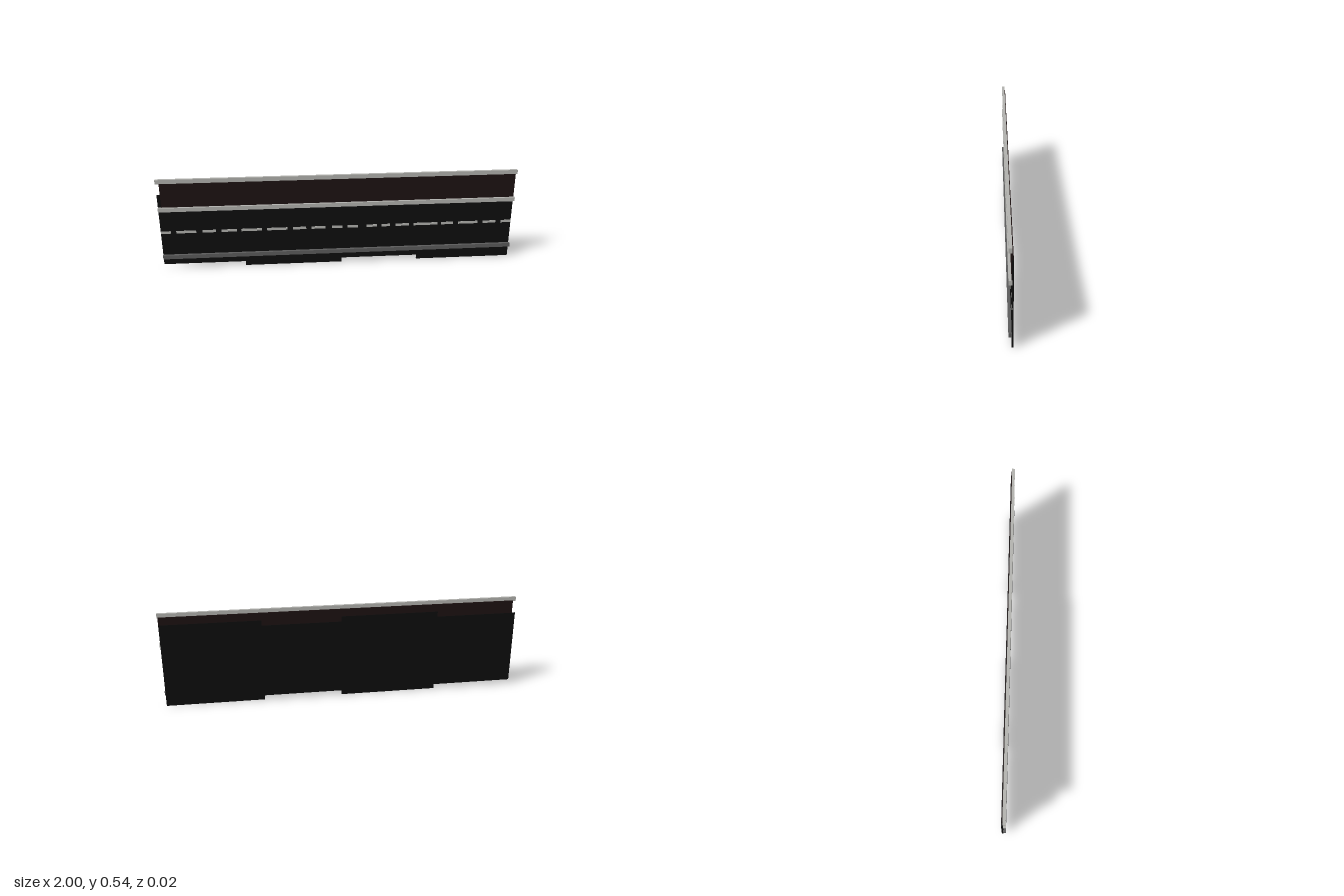
import * as THREE from 'three';

const paint = (color) => new THREE.MeshStandardMaterial({ color });

// Box given by its limits on each axis
function block(name, [x0, x1], [y0, y1], [z0, z1], material) {
  const mesh = new THREE.Mesh(new THREE.BoxGeometry(x1 - x0, y1 - y0, z1 - z0), material);
  mesh.position.set((x0 + x1) / 2, (y0 + y1) / 2, (z0 + z1) / 2);
  mesh.name = name;
  return mesh;
}

export function createModel() {
  const model = new THREE.Group();
  model.name = 'roadSection';
  const asphalt = paint(0x0d0d0d);
  const pavement = paint(0x1c1111);
  const paleStone = paint(0xb0b0ac);
  const darkStone = paint(0x5a5a5a);

  // Road slabs, alternately narrow and wide
  const joints = [-1, -0.54, 0.01, 0.45, 0.995];
  const road = new THREE.Group();
  road.name = 'roadSlabs';
  for (let i = 0; i < 4; i++) {
    const edge = i % 2 ? [0, 0.475] : [0.025, 0.445];
    road.add(block('roadSlab', [joints[i], joints[i + 1]], edge, [-0.011, -0.003], asphalt));
  }
  model.add(road);

  // Raised pavement strip
  model.add(block('pavement', [-0.982, 0.995], [0.36, 0.518], [-0.0085, -0.001], pavement));

  // Kerbs along the full length
  const kerbs = [
    ['outerKerb', 0.526, paleStone],
    ['innerKerb', 0.361, paleStone],
    ['farKerb', 0.074, darkStone],
  ];
  for (const [name, y, material] of kerbs) {
    model.add(block(name, [-1, 1], [y - 0.0115, y + 0.0115], [-0.004, 0.012], material));
  }

  // Broken centre line: start and end of each dash
  const dashes = [
    [-1, -0.945], [-0.915, -0.805], [-0.77, -0.695], [-0.665, -0.58], [-0.555, -0.44], [-0.41, -0.295],
    [-0.265, -0.19], [-0.16, -0.08], [-0.045, 0.015], [0.045, 0.105], [0.155, 0.215], [0.24, 0.29],
    [0.32, 0.4], [0.425, 0.565], [0.585, 0.655], [0.685, 0.8], [0.83, 0.905], [0.935, 0.995],
  ];
  const centreLine = new THREE.Group();
  centreLine.name = 'centreLine';
  for (const span of dashes) {
    centreLine.add(block('dash', span, [0.214, 0.229], [-0.005, -0.002], paleStone));
  }
  model.add(centreLine);

  return model;
}
